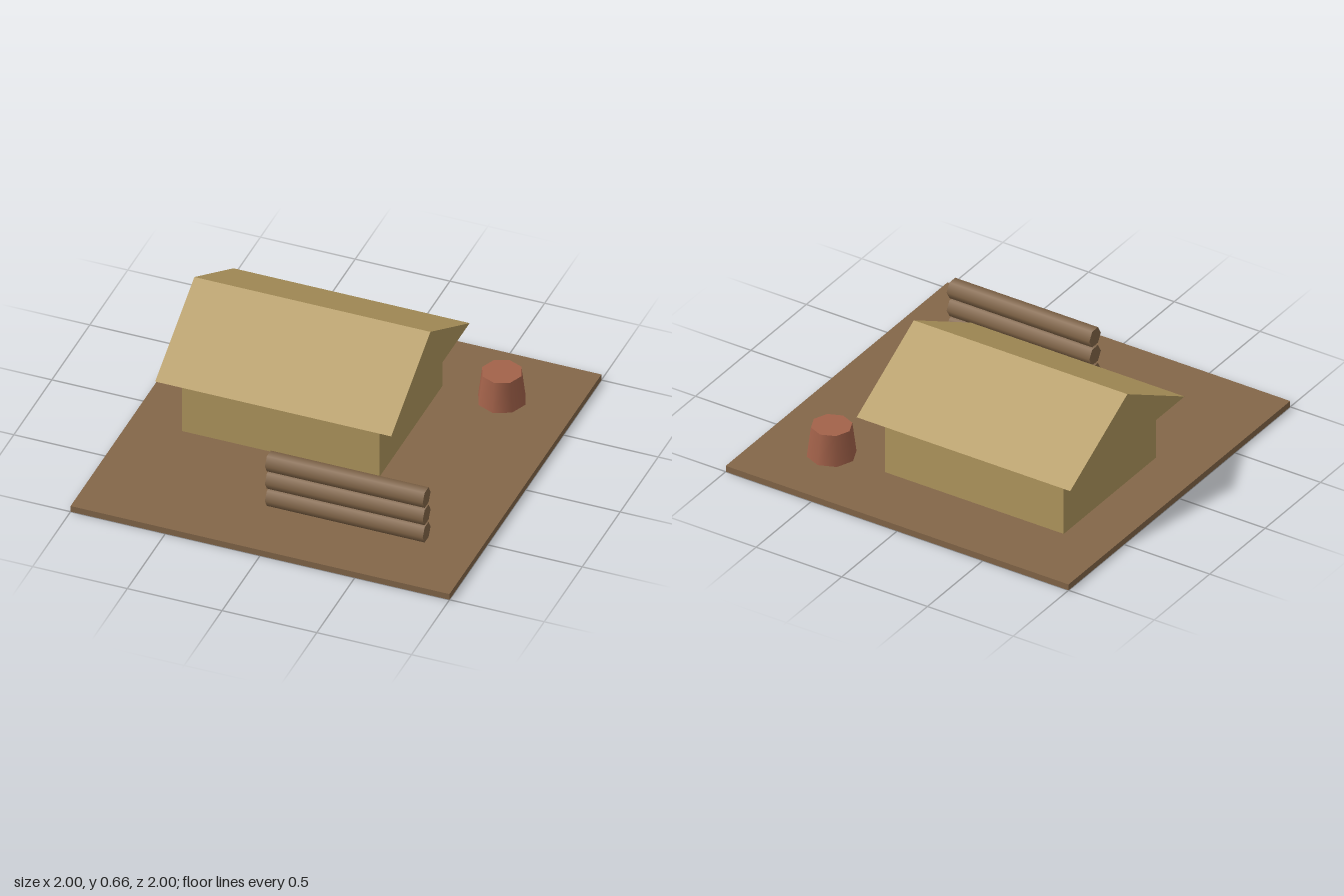
import * as THREE from 'three';

function material(name, color) {
  const m = new THREE.MeshStandardMaterial({ color });
  m.name = name;
  return m;
}

export function createModel() {
  const model = new THREE.Group();
  model.name = 'woodcutterYard';
  const earth = material('earthBrown', 0x846749);
  const straw = material('straw', 0xb3995f);
  const clay = material('clay', 0xa3624a);

  function add(name, geometry, mat, x, y, z, parent = model) {
    const mesh = new THREE.Mesh(geometry, mat);
    mesh.name = name;
    mesh.position.set(x, y, z);
    parent.add(mesh);
    return mesh;
  }

  // Ground slab
  const ground = 0.034;
  add('groundSlab', new THREE.BoxGeometry(2, ground, 2), earth, 0, ground / 2, 0);

  // Hut: box walls under a solid gable roof running along x
  const hut = new THREE.Group();
  hut.name = 'hut';
  hut.position.set(-0.208, ground, -0.208);
  model.add(hut);
  const wallHeight = 0.336;
  add('walls', new THREE.BoxGeometry(1.042, wallHeight, 0.833), straw, 0, wallHeight / 2, 0, hut);

  const gable = new THREE.Shape();
  gable.moveTo(-0.516, 0);
  gable.lineTo(0.516, 0);
  gable.lineTo(0, 0.288);
  gable.closePath();
  const roofLength = 1.246;
  const roofGeometry = new THREE.ExtrudeGeometry(gable, { depth: roofLength, bevelEnabled: false });
  roofGeometry.translate(0, 0, -roofLength / 2).rotateY(Math.PI / 2);
  add('roof', roofGeometry, straw, 0, wallHeight, 0, hut);

  // Three six-sided logs, one above another
  const logs = new THREE.Group();
  logs.name = 'logPile';
  model.add(logs);
  const logGeometry = new THREE.CylinderGeometry(0.052, 0.052, 0.833, 6).rotateZ(Math.PI / 2);
  for (let i = 0; i < 3; i++) {
    add('log' + (i + 1), logGeometry, earth, 0.3125, 0.087 + i * 0.104, 0.625, logs);
  }

  // Tapered clay tub
  const tubHeight = 0.166;
  add('tub', new THREE.CylinderGeometry(0.104, 0.125, tubHeight, 8), clay, 0.625, ground + tubHeight / 2, -0.625);

  return model;
}
